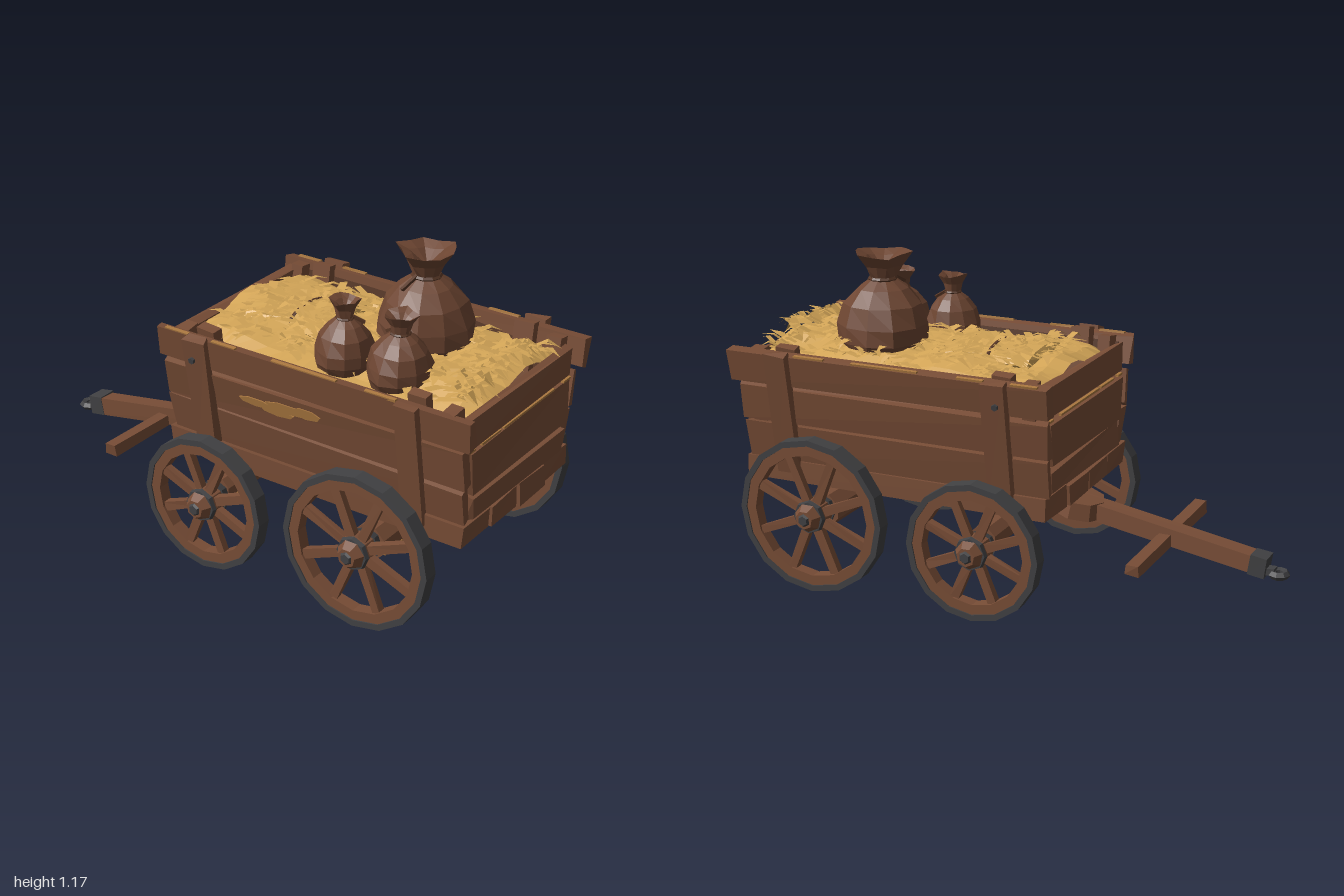
import * as THREE from 'three';

const mat = (name, color, extra = {}) => {
  const m = new THREE.MeshStandardMaterial({ color, flatShading: true, ...extra });
  m.name = name;
  return m;
};

export function createModel() {
  const root = new THREE.Group();
  root.name = 'hayCart';
  const wood = mat('wood', 0x784d36);
  const darkWood = mat('darkWood', 0x563625);
  const worn = mat('wornWood', 0xa9773f);
  const iron = mat('iron', 0x414143);
  const sackCloth = mat('sackCloth', 0x6e4632);
  const hay = mat('hay', 0xd3a557, { side: THREE.DoubleSide });

  let seed = 7;
  const rnd = () => (seed = (seed * 16807) % 2147483647) / 2147483647;
  const span = (a, b) => a + (b - a) * rnd();

  const add = (parent, name, geo, material, x = 0, y = 0, z = 0) => {
    const m = new THREE.Mesh(geo, material);
    m.name = name;
    m.position.set(x, y, z);
    parent.add(m);
    return m;
  };

  // Hewn board: a box whose eight corners are nudged; taper widens z toward the top
  const board = (w, h, d, jitter = 0.006, taper = 0) => {
    const g = new THREE.BoxGeometry(w, h, d);
    const p = g.attributes.position;
    const nudges = Array.from({ length: 8 }, () => [0, 1, 2].map(() => span(-jitter, jitter)));
    for (let i = 0; i < p.count; i++) {
      const x = p.getX(i), y = p.getY(i), z = p.getZ(i);
      const n = nudges[(x > 0 ? 1 : 0) + (y > 0 ? 2 : 0) + (z > 0 ? 4 : 0)];
      const j = Math.min(1, h / 0.05);
      p.setXYZ(i, x + n[0], y + n[1] * j, z + n[2] * 0.6 + Math.sign(z) * Math.sign(y) * taper);
    }
    return g;
  };

  // Floor planks running the length of the cart
  for (let i = 0; i < 4; i++) {
    add(root, 'floorPlank', board(1.21 + span(-0.02, 0.02), 0.076, 0.171), wood, 0.36, 0.402, -0.267 + i * 0.178);
  }

  // Leaning sides: planks, lining and posts
  const rows = [[0.45, 0.58, -0.235, 0.95], [0.595, 0.73, -0.245, 0.96], [0.748, 0.85, -0.26, 0.99]];
  for (const s of [1, -1]) {
    const side = new THREE.Group();
    side.name = s > 0 ? 'frontSide' : 'backSide';
    side.position.set(0, 0.4, s * 0.308);
    side.rotation.x = s * 0.155;
    root.add(side);
    for (const [y0, y1, x0, x1] of rows) {
      add(side, 'sidePlank', board(x1 - x0, y1 - y0, 0.04, 0.008), wood, (x0 + x1) / 2, (y0 + y1) / 2 - 0.4, s * 0.005);
    }
    add(side, 'sideLining', board(1.14, 0.39, 0.01, 0), darkWood, 0.36, 0.23, -s * 0.012);
    for (const x of [-0.07, 0.775]) {
      add(side, 'outerPost', board(0.084, 0.46, 0.038, 0.006), wood, x, 0.24, s * 0.042);
      add(side, 'innerPost', board(0.075, 0.42, 0.04, 0.005), wood, x, 0.26, -s * 0.035);
    }
    const bolt = add(side, 'bolt', new THREE.CylinderGeometry(0.012, 0.012, 0.012, 6), iron, -0.08, 0.39, s * 0.064);
    bolt.rotation.x = Math.PI / 2;
    for (const [x, w] of [[-0.17, 0.1], [0.03, 0.1], [0.36, 0.26], [0.66, 0.12]]) {
      add(side, 'wornEdge', board(w, 0.009, 0.014, 0.001), worn, x, 0.457, s * 0.016);
    }
    // Worn patches on the outer face of the front side
    if (s < 0) continue;
    for (const [x, y, w, h] of [[0.15, 0.272, 0.14, 0.03], [0.29, 0.285, 0.2, 0.035], [0.24, 0.26, 0.14, 0.03], [0.36, 0.29, 0.12, 0.04]]) {
      const patch = new THREE.CylinderGeometry(0.5, 0.5, 0.007, 7).rotateX(Math.PI / 2).scale(w, h, 1);
      add(side, 'wornPatch', patch, worn, x, y, 0.0275);
    }
  }

  // End boards, wider toward the top
  for (const [x, name] of [[-0.215, 'headboard'], [0.945, 'tailgate']]) {
    for (const [y0, y1, half] of [[0.445, 0.532, 0.3], [0.547, 0.703, 0.318], [0.72, 0.822, 0.338]]) {
      add(root, name, board(0.04, y1 - y0, half * 2, 0.009, (y1 - y0) * 0.075), wood, x, (y0 + y1) / 2, 0);
    }
    const inward = x < 0 ? 1 : -1;
    add(root, name + 'Lining', board(0.01, 0.36, 0.6, 0, 0.028), darkWood, x + inward * 0.018, 0.62, 0);
    for (const s of [1, -1]) {
      const cleat = add(root, 'cornerPost', board(0.05, 0.42, 0.07, 0.004), wood, x + inward * 0.045, 0.64, s * 0.314);
      cleat.rotation.x = s * 0.155;
    }
    for (const [z, w] of [[-0.05, 0.34], [0.2, 0.12], [-0.31, 0.05], [0.32, 0.04]]) {
      add(root, 'wornEdge', board(0.012, 0.008, w, 0.001), worn, x - inward * 0.012, 0.709, z);
    }
  }

  // Wheels: iron tyre, wooden rim, spokes and hub
  const ring = (outer, inner, half, sides) => new THREE.LatheGeometry(
    [[outer, -half], [outer, half], [inner, half], [inner, -half], [outer, -half]].map(p => new THREE.Vector2(...p)), sides).rotateX(Math.PI / 2);
  const drum = (r0, r1, h, n) => new THREE.CylinderGeometry(r1, r0, h, n).rotateX(Math.PI / 2);
  const wheel = (x, r, s) => {
    const g = new THREE.Group();
    g.name = 'wheel';
    g.position.set(x, r + 0.008, s * 0.455);
    g.rotation.y = s > 0 ? 0 : Math.PI;
    root.add(g);
    add(g, 'tyre', ring(r, r - 0.022, 0.028, 16), iron);
    add(g, 'rim', ring(r - 0.02, r - 0.058, 0.023, 16), wood);
    for (let i = 0; i < 8; i++) {
      const spoke = board(0.032, r - 0.07, 0.028, 0.003).translate(0, r / 2, 0);
      add(g, 'spoke', spoke, wood).rotation.z = (i + 0.5) * Math.PI / 4;
    }
    add(g, 'hub', drum(0.062, 0.058, 0.05, 8), wood);
    add(g, 'innerHubBand', drum(0.055, 0.066, 0.035, 8), iron, 0, 0, -0.045);
    add(g, 'outerHubBand', drum(0.062, 0.058, 0.016, 8), iron, 0, 0, 0.031);
    add(g, 'hubCap', drum(0.053, 0.034, 0.03, 7), wood, 0, 0, 0.054);
    add(g, 'axleNut', drum(0.026, 0.018, 0.01, 6), iron, 0, 0, 0.072);
  };
  // Chamfered axle beams under the bed: [x, wheel radius, beam height, beam radius]
  for (const [x, r, y, thick] of [[-0.01, 0.25, 0.275, 0.052], [0.625, 0.285, 0.288, 0.066]]) {
    for (const s of [1, -1]) wheel(x, r, s);
    const beam = new THREE.CylinderGeometry(thick, thick, 0.78, 8).rotateY(Math.PI / 8).rotateX(Math.PI / 2);
    add(root, 'axle', beam, wood, x, y, 0);
    for (const [z, w] of [[0.32, 0.13], [-0.34, 0.09]]) {
      add(root, 'wornEdge', board(0.008, 0.01, w, 0.001), worn, x + thick * 0.92, y - thick * 0.38, z);
    }
  }
  add(root, 'reachBeam', board(0.75, 0.045, 0.07), wood, 0.3, 0.315, 0);

  // Drawbar with its crossbar and iron hitch
  const pole = new THREE.Group();
  pole.name = 'drawbar';
  pole.position.set(-0.9, 0.19, 0);
  pole.rotation.z = 0.17;
  root.add(pole);
  add(pole, 'pole', board(0.95, 0.07, 0.068), wood, 0.475, 0, 0);
  add(pole, 'poleRoot', new THREE.CylinderGeometry(0.09, 0.1, 0.06, 8), wood, 0.7, 0.005, 0);
  add(pole, 'poleBand', board(0.06, 0.074, 0.075, 0.002), iron, 0.01, 0, 0);
  add(root, 'crossbar', board(0.045, 0.04, 0.69), wood, -0.55, 0.238, -0.005);
  add(root, 'hitchShank', board(0.06, 0.026, 0.04, 0.002), iron, -0.915, 0.172, 0);
  add(root, 'hitchRing', new THREE.TorusGeometry(0.025, 0.015, 5, 8).rotateX(Math.PI / 2), iron, -0.959, 0.165, 0);

  // Hay mound
  const moundY = (x, z) => 0.79 + 0.07 * (1 - (z / 0.34) ** 2) + 0.01 * Math.sin(x * 17 + z * 9)
    + 0.01 * Math.cos(z * 23 - x * 5) - (x > 0.9 || x < -0.17 ? 0.025 : 0);
  const mound = new THREE.PlaneGeometry(1.13, 0.65, 18, 10).rotateX(-Math.PI / 2).translate(0.365, 0, 0);
  const mp = mound.attributes.position;
  for (let i = 0; i < mp.count; i++) mp.setY(i, moundY(mp.getX(i), mp.getZ(i)));
  add(root, 'hayMound', mound, hay);

  // Loose straws: flat tapered blades lying over the mound, bent in the middle
  const straws = (count, place) => {
    const v = [];
    for (let i = 0; i < count; i++) {
      const { x, y, z, a, len, rise, drop } = place();
      const w = span(0.009, 0.018), c = Math.cos(a), s = Math.sin(a);
      const l = [x - s * w, y, z + c * w], r = [x + s * w, y, z - c * w];
      const m = [x + c * len * 0.55, y + rise, z + s * len * 0.55];
      const ml = [m[0] - s * w, m[1], m[2] + c * w], mr = [m[0] + s * w, m[1], m[2] - c * w];
      const tip = [x + c * len, y + rise - drop, z + s * len];
      for (const q of [l, ml, r, r, ml, mr, ml, tip, mr]) v.push(...q);
    }
    const g = new THREE.BufferGeometry();
    g.setAttribute('position', new THREE.Float32BufferAttribute(v, 3));
    g.computeVertexNormals();
    return g;
  };
  add(root, 'looseStraw', straws(430, () => {
    const x = span(-0.11, 0.85), z = span(-0.25, 0.25);
    return { x, z, y: moundY(x, z) + 0.004, a: span(0, Math.PI * 2), len: span(0.07, 0.14), rise: span(0.004, 0.02), drop: span(0.005, 0.03) };
  }), hay);
  add(root, 'rearStraw', straws(70, () => {
    const z = span(-0.27, 0.27), x = span(0.78, 0.88);
    return { x, z, y: moundY(x, z) + 0.01, a: span(-0.6, 0.6), len: span(0.07, 0.12), rise: span(0.005, 0.035), drop: span(-0.01, 0.05) };
  }), hay);

  // Tied sheaf lying on the mound, pinched at the cord
  const sheafX = 0.1, sheafY = 0.84;
  const sheaf = new THREE.LatheGeometry([[0.005, -0.2], [0.15, -0.17], [0.14, -0.08], [0.105, 0], [0.14, 0.08], [0.16, 0.15], [0.005, 0.18]]
    .map(p => new THREE.Vector2(...p)), 12).rotateZ(-Math.PI / 2).scale(1, 0.28, 1);
  add(root, 'haySheaf', sheaf, hay, sheafX, sheafY, 0);
  add(root, 'sheafCord', new THREE.TorusGeometry(0.115, 0.007, 5, 14).rotateY(Math.PI / 2).scale(1, 0.4, 1), darkWood, sheafX, sheafY, 0);
  add(root, 'sheafStraw', straws(100, () => {
    const t = span(-1, 1), dir = rnd() < 0.5 ? 1 : -1;
    return { x: sheafX + dir * 0.02, z: t * 0.1, y: sheafY + 0.034 * Math.sqrt(1 - t * t),
      a: dir > 0 ? t * 0.55 : Math.PI - t * 0.55, len: span(0.1, 0.22), rise: span(0.006, 0.016), drop: span(0.01, 0.03) };
  }), hay);

  // Sacks: baggy body, tied neck and pleated open mouth
  const body = [[0.01, 0], [0.85, 0], [1, 0.14], [0.99, 0.3], [0.84, 0.5], [0.55, 0.65], [0.27, 0.74]];
  const sack = (x, y, z, r, h, turn, mouth) => {
    const g = new THREE.Group();
    g.name = 'sack';
    g.position.set(x, y, z);
    g.rotation.y = turn;
    root.add(g);
    const profile = [...body, [mouth * 0.65, 0.87], [mouth, 1], [mouth * 0.6, 0.95], [0.02, 0.84]];
    const geo = new THREE.LatheGeometry(profile.map(([a, b]) => new THREE.Vector2(a * r, b * h)), 11);
    const p = geo.attributes.position;
    for (let i = 0; i < p.count; i++) {
      const px = p.getX(i), py = p.getY(i), pz = p.getZ(i);
      const a = Math.atan2(pz, px), t = py / h;
      const k = t > 0.76 ? 1 + 0.13 * Math.cos(6 * a) : 1 + 0.035 * Math.sin(3 * a + t * 7) + 0.02 * Math.sin(5 * a - t * 11);
      p.setXYZ(i, px * k, py + (t > 0.9 ? 0.02 * h * Math.sin(2 * a) : 0), pz * k);
    }
    geo.computeVertexNormals();
    add(g, 'sackBody', geo, sackCloth);
    add(g, 'sackTie', new THREE.TorusGeometry(r * 0.28, r * 0.05, 5, 10).rotateX(Math.PI / 2), darkWood, 0, h * 0.74, 0);
    const tail = add(g, 'tieTail', board(r * 0.45, 0.01, 0.012, 0.001), darkWood, r * 0.44, h * 0.71, 0);
    tail.rotation.z = -0.5;
  };
  sack(0.54, 0.81, -0.06, 0.168, 0.365, 4.4, 0.6);
  sack(0.395, 0.8, 0.21, 0.103, 0.25, 0.6, 0.5);
  sack(0.61, 0.8, 0.205, 0.112, 0.25, 2.8, 0.5);

  return root;
}
